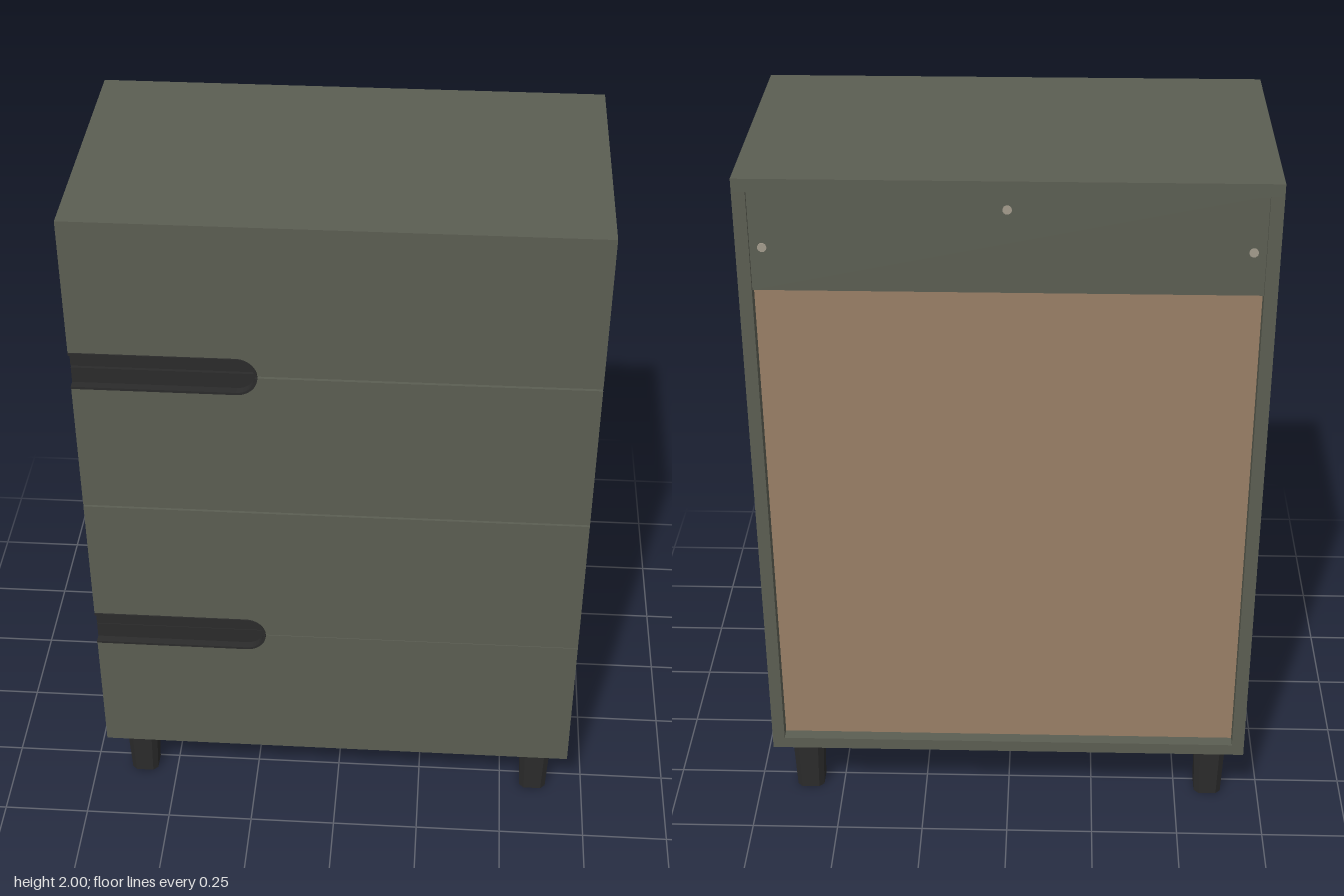
import * as THREE from 'three';

const W = 0.692, D = 0.387, Y0 = 0.205, Y1 = 2, T = 0.035, FZ = 0.352;
const R = 0.056, CX = -0.256; // handle end radius and centre

const mat = (name, color) => {
  const m = new THREE.MeshStandardMaterial({ color });
  m.name = name;
  return m;
};

export function createModel() {
  const green = mat('olive lacquer', 0x5b5e52);
  const black = mat('black plastic', 0x2b2b2b);
  const brown = mat('brown fibreboard', 0x997f66);
  const metal = mat('fastener', 0xa39b8c);
  const model = new THREE.Group();
  model.name = 'chestOfDrawers';

  const add = (name, geo, m, x = 0, y = 0, z = 0, parent = model) => {
    const mesh = new THREE.Mesh(geo, m);
    mesh.name = name;
    mesh.position.set(x, y, z);
    parent.add(mesh);
    return mesh;
  };
  // box given by its limits
  const box = (name, m, x0, x1, y0, y1, z0, z1) =>
    add(name, new THREE.BoxGeometry(x1 - x0, y1 - y0, z1 - z0), m,
      (x0 + x1) / 2, (y0 + y1) / 2, (z0 + z1) / 2);
  const slab = (pts, depth) => new THREE.ExtrudeGeometry(
    new THREE.Shape(pts.map(p => new THREE.Vector2(...p))), { depth, bevelEnabled: false });
  // quarter arc from the joint line (y = g) to the long edge, s = up or down
  const arc = (j, s, r, g) => {
    const a0 = Math.asin(g / r), pts = [];
    for (let i = 0; i <= 12; i++) {
      const a = a0 + (Math.PI / 2 - a0) * i / 12;
      pts.push([CX + r * Math.cos(a), j + s * r * Math.sin(a)]);
    }
    return pts;
  };

  // carcass
  box('topPanel', green, -W, W, Y1 - T, Y1, -D, FZ);
  box('bottomPanel', green, -W, W, Y0, Y0 + T, -D, FZ);
  for (const s of [-1, 1])
    add(s > 0 ? 'leftSide' : 'rightSide', new THREE.BoxGeometry(T, Y1 - Y0 - 2 * T, D + FZ), green,
      s * (W - T / 2), (Y0 + Y1) / 2, (FZ - D) / 2);
  box('backRail', green, -W + T, W - T, 1.69, Y1 - T, -0.377, -0.342);
  box('backPanel', brown, -W + T, W - T, Y0 + T, 1.7, -0.352, -0.342);

  // drawers: joints with gap half-width, handles on the 1st and 3rd joint
  const joints = [
    { y: Y0, g: 0 }, { y: 0.653, g: 0.001, handle: true }, { y: 1.103, g: 0.003 },
    { y: 1.553, g: 0.003, handle: true }, { y: Y1, g: 0 },
  ];
  for (let i = 0; i < 4; i++) {
    const a = joints[i], b = joints[i + 1];
    const low = a.handle
      ? [[-W, a.y + R], ...arc(a.y, 1, R, a.g).reverse()] : [[-W, a.y + a.g]];
    const high = b.handle
      ? [...arc(b.y, -1, R, b.g), [-W, b.y - R]] : [[-W, b.y - b.g]];
    add('drawerFront', slab([...low, [W, a.y + a.g], [W, b.y - b.g], ...high], D - FZ),
      green, 0, 0, FZ);
    box('drawerBox', green, -W + T + 0.01, W - T - 0.01, Math.max(a.y, Y0 + T),
      Math.min(b.y, Y1 - T), -0.3, FZ - 0.004);
  }

  // recessed handles: a floor and a raised rim for each half
  for (const { y, g, handle } of joints) {
    if (!handle) continue;
    const grip = new THREE.Group();
    grip.name = 'handle';
    model.add(grip);
    for (const s of [-1, 1]) {
      const outer = arc(y, s, R, g), inner = arc(y, s, R - 0.007, g);
      add('handleFloor', slab([[-W, y + s * g], ...outer, [-W, y + s * R]], 0.016),
        black, 0, 0, FZ, grip);
      add('handleRim', slab([...outer, [-W, y + s * R], [-W, y + s * (R - 0.007)],
        ...inner.reverse()], 0.03), black, 0, 0, 0.3605, grip);
    }
  }

  // tapered leg with chamfered corners
  const h = 0.046, c = 0.03, H = 0.182;
  const legGeo = slab([[h, -c], [h, c], [c, h], [-c, h], [-h, c], [-h, -c], [-c, -h], [c, -h]], H);
  legGeo.rotateX(-Math.PI / 2);
  const p = legGeo.attributes.position;
  for (let i = 0; i < p.count; i++) {
    const k = 0.86 + 0.14 * p.getY(i) / H;
    p.setX(i, p.getX(i) * k);
    p.setZ(i, p.getZ(i) * k);
  }
  legGeo.computeVertexNormals();
  for (const x of [-0.6, 0.6]) for (const z of [-0.277, 0.277]) {
    const leg = new THREE.Group();
    leg.name = 'leg';
    leg.position.set(x, 0, z);
    model.add(leg);
    add('legPost', legGeo, black, 0, 0, 0, leg);
    add('legNeck', new THREE.CylinderGeometry(0.034, 0.034, 0.02, 20), black, 0, 0.19, 0, leg);
    add('mountDisc', new THREE.CylinderGeometry(0.058, 0.058, 0.008, 24), black, 0, 0.2, 0, leg);
    for (const turn of [0, Math.PI / 2])
      add('mountEar', new THREE.BoxGeometry(0.158, 0.007, 0.045), black, 0, 0.2005, 0, leg)
        .rotation.y = turn;
  }

  // small fasteners on the back rail and underside
  const disc = new THREE.CylinderGeometry(0.012, 0.012, 0.004, 16);
  for (const [x, y] of [[-0.625, 1.81], [0, 1.92], [0.625, 1.81]])
    add('railFastener', disc, metal, x, y, -0.378).rotation.x = Math.PI / 2;
  add('baseFastener', disc, metal, 0, Y0, 0);

  return model;
}
